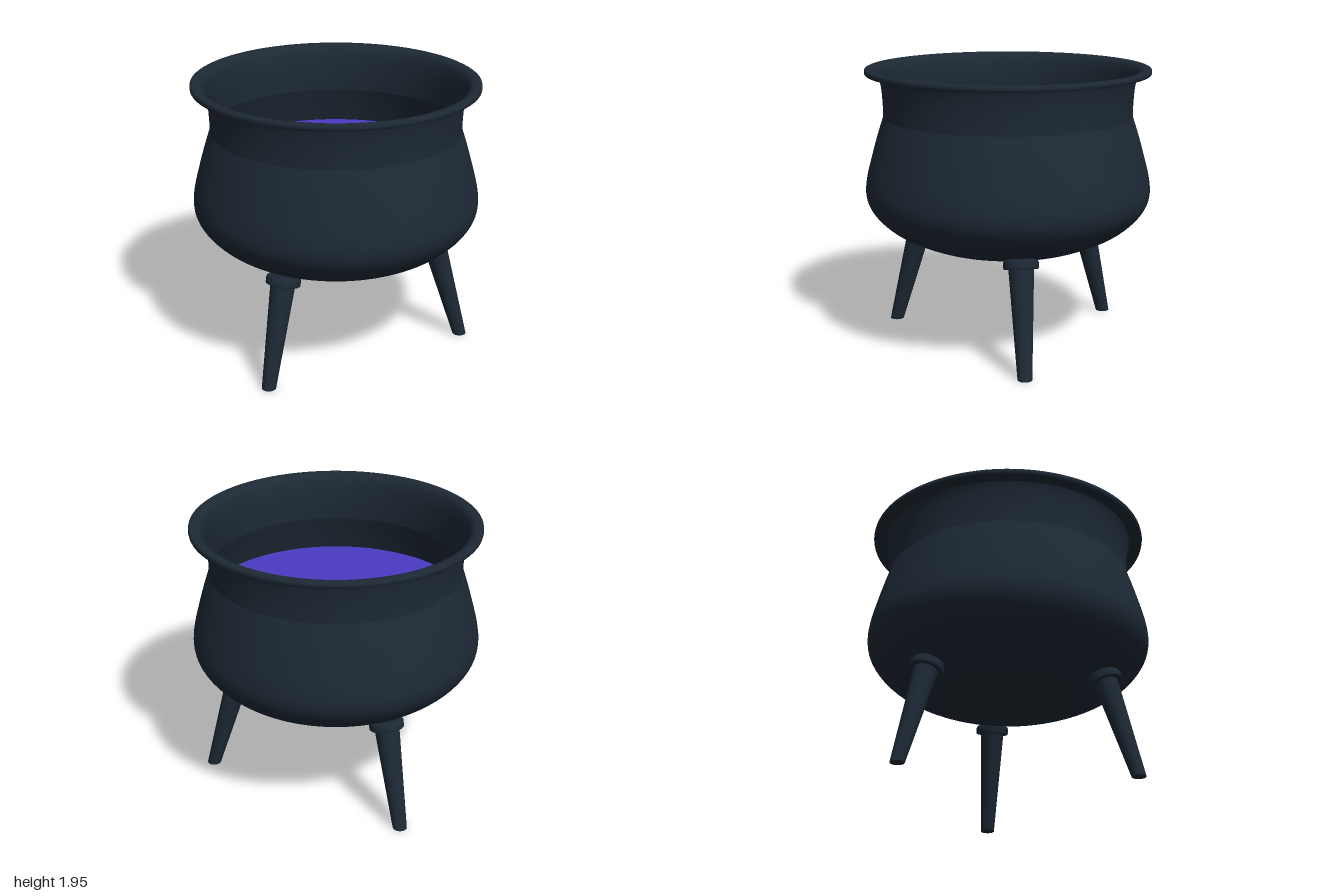
import * as THREE from 'three';

const iron = new THREE.MeshStandardMaterial({ color: 0x1d2935, side: THREE.DoubleSide });
const brew = new THREE.MeshStandardMaterial({ color: 0x4a3bc2, side: THREE.DoubleSide });

const toPoints = (list) => list.map(([r, y]) => new THREE.Vector2(r, y));
const smooth = (list, n) => new THREE.SplineCurve(toPoints(list)).getPoints(n);

function addMesh(parent, name, geometry, material = iron) {
  const mesh = new THREE.Mesh(geometry, material);
  mesh.name = name;
  parent.add(mesh);
  return mesh;
}

// Splayed tapered leg in the local x-y plane, with a collar where it meets the belly
function makeLeg(name, angle) {
  const leg = new THREE.Group();
  leg.name = name;
  const footR = 0.912, topR = 0.692, height = 0.77;
  const lean = (footR - topR) / height;

  // Lean by shearing, so the foot stays flat on the floor
  const shaft = new THREE.CylinderGeometry(0.089, 0.049, height, 32, 1);
  shaft.translate(0, height / 2, 0);
  shaft.applyMatrix4(new THREE.Matrix4().set(
    1, -lean, 0, footR,
    0, 1, 0, 0,
    0, 0, 1, 0,
    0, 0, 0, 1));
  shaft.computeVertexNormals();
  addMesh(leg, 'legShaft', shaft);

  const ring = new THREE.LatheGeometry(toPoints([
    [0, 0], [0.112, 0], [0.118, 0.006], [0.118, 0.045], [0.112, 0.058], [0.098, 0.066], [0, 0.066],
  ]), 32);
  const collar = addMesh(leg, 'legCollar', ring);
  collar.position.set(footR - lean * 0.697, 0.697, 0);
  collar.rotation.z = Math.atan(lean);

  leg.rotation.y = -angle;
  return leg;
}

export function createModel() {
  const model = new THREE.Group();
  model.name = 'cauldron';

  // Round belly, from the underside up to the waist
  const belly = smooth([
    [0, 0.662], [0.2, 0.664], [0.38, 0.676], [0.54, 0.702], [0.69, 0.757], [0.82, 0.826],
    [0.92, 0.912], [0.98, 1.0], [0.999, 1.09], [0.986, 1.2], [0.95, 1.34], [0.91, 1.48], [0.868, 1.61],
  ], 60);
  belly[0].x = 0;
  addMesh(model, 'belly', new THREE.LatheGeometry(belly, 96));

  // Neck flaring outwards to the rim
  const neck = smooth([[0.868, 1.61], [0.869, 1.7], [0.876, 1.8], [0.888, 1.87], [0.904, 1.915]], 20);
  addMesh(model, 'neck', new THREE.LatheGeometry(neck, 96));

  // Flat lip with softened edges
  const lip = toPoints([
    [0.9, 1.905], [0.98, 1.905], [0.989, 1.91], [0.992, 1.925], [0.989, 1.941], [0.98, 1.946],
    [0.95, 1.946], [0.927, 1.94], [0.911, 1.926], [0.9, 1.905],
  ]);
  addMesh(model, 'rim', new THREE.LatheGeometry(lip, 96));

  // Liquid surface inside the pot
  const liquid = addMesh(model, 'liquid', new THREE.CircleGeometry(0.944, 96), brew);
  liquid.rotation.x = -Math.PI / 2;
  liquid.position.y = 1.35;

  // Three legs spaced evenly around the pot
  ['frontLeg', 'rightLeg', 'backLeg'].forEach((name, i) => {
    model.add(makeLeg(name, THREE.MathUtils.degToRad(68 + i * 120)));
  });

  return model;
}
